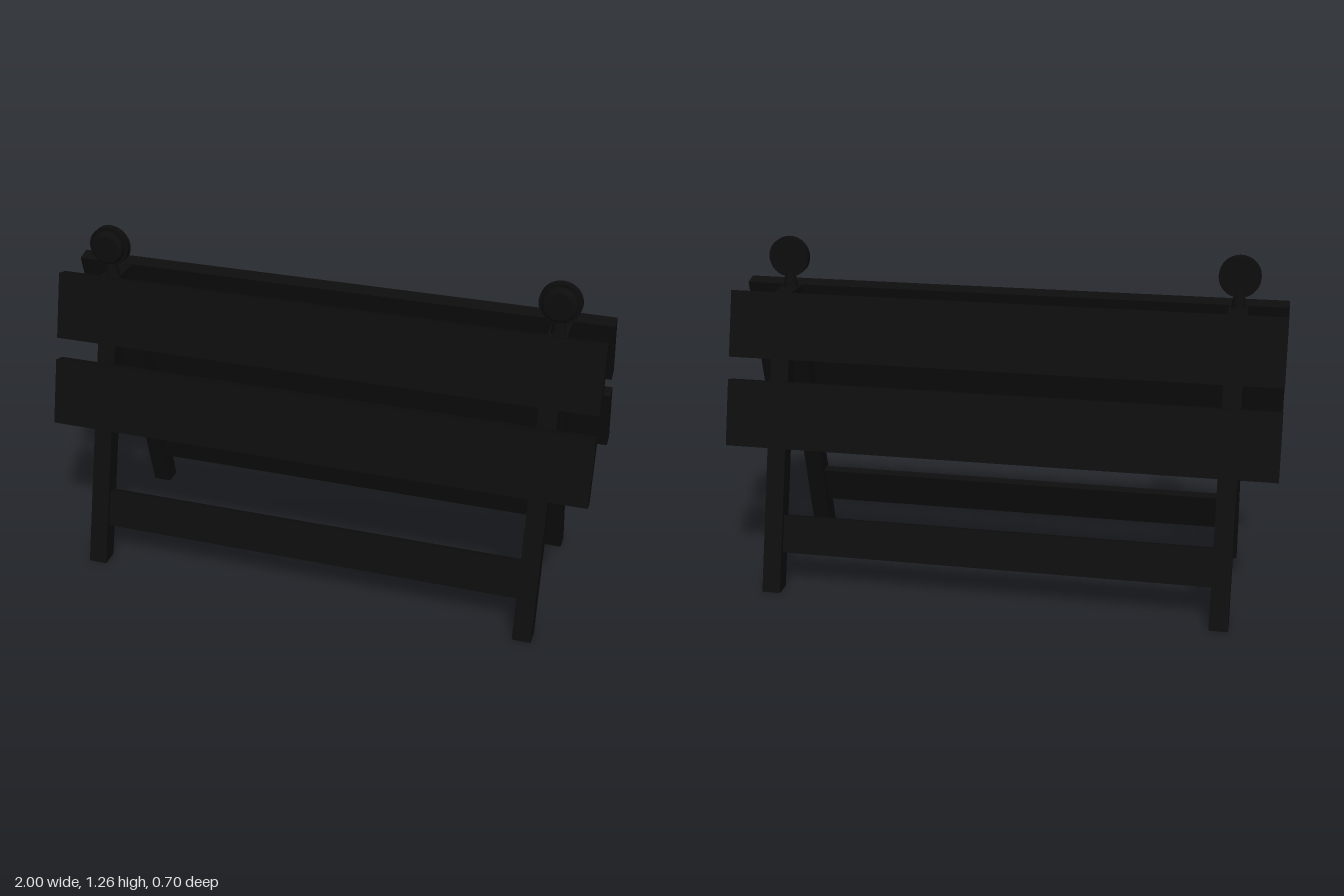
import * as THREE from 'three';

const material = new THREE.MeshStandardMaterial({ color: 0x0d0d0d });
const TILT = Math.atan(0.264); // lean of each side frame
const LEG_X = 0.823;

function addMesh(parent, name, geometry, x = 0, y = 0, z = 0) {
  const mesh = new THREE.Mesh(geometry, material);
  mesh.name = name;
  mesh.position.set(x, y, z);
  parent.add(mesh);
  return mesh;
}

// Leaning leg: a parallelogram cut flat at the floor and at the top
function legGeometry() {
  const width = 0.068;
  const shape = new THREE.Shape([
    new THREE.Vector2(-0.35, 0),
    new THREE.Vector2(-0.283, 0),
    new THREE.Vector2(0, 1.073),
    new THREE.Vector2(-0.067, 1.073),
  ]);
  const geometry = new THREE.ExtrudeGeometry(shape, { depth: width, bevelEnabled: false });
  geometry.translate(0, 0, -width / 2);
  geometry.rotateY(Math.PI / 2);
  return geometry;
}

// One leaning half: two legs, two boards, one low rail
function createSide(name) {
  const side = new THREE.Group();
  side.name = name;
  const leg = legGeometry();
  for (const s of [-1, 1]) addMesh(side, s > 0 ? 'leftLeg' : 'rightLeg', leg, s * LEG_X);

  const board = new THREE.BoxGeometry(2, 0.243, 0.051);
  addMesh(side, 'upperBoard', board, 0, 0.962, 0.12).rotation.x = -TILT;
  addMesh(side, 'lowerBoard', board, 0, 0.648, 0.205).rotation.x = -TILT;
  const rail = new THREE.BoxGeometry(1.58, 0.138, 0.033);
  addMesh(side, 'bottomRail', rail, 0, 0.204, 0.263).rotation.x = -TILT;
  return side;
}

// Warning lamp: tapered stem, round back plate and rounded lens
function createLamp(name) {
  const lamp = new THREE.Group();
  lamp.name = name;
  addMesh(lamp, 'lampStem', new THREE.CylinderGeometry(0.015, 0.031, 0.09, 20), 0, 1.095, 0.036);

  const plate = new THREE.CylinderGeometry(0.074, 0.074, 0.028, 32);
  plate.rotateX(Math.PI / 2);
  addMesh(lamp, 'lampPlate', plate, 0, 1.185, 0.037);

  const profile = new THREE.Path();
  profile.moveTo(0.062, 0);
  profile.lineTo(0.062, 0.009);
  profile.quadraticCurveTo(0.062, 0.027, 0.044, 0.027);
  profile.lineTo(0, 0.027);
  const lens = new THREE.LatheGeometry(profile.getPoints(6), 32);
  lens.rotateX(Math.PI / 2);
  addMesh(lamp, 'lampLens', lens, 0, 1.185, 0.05);
  return lamp;
}

export function createModel() {
  const model = new THREE.Group();
  model.name = 'barricade';

  const front = createSide('frontSide');
  const back = createSide('backSide');
  back.rotation.y = Math.PI;
  model.add(front, back);

  for (const s of [-1, 1]) {
    const lamp = createLamp(s > 0 ? 'leftLamp' : 'rightLamp');
    lamp.position.x = s * LEG_X;
    model.add(lamp);
  }
  return model;
}
